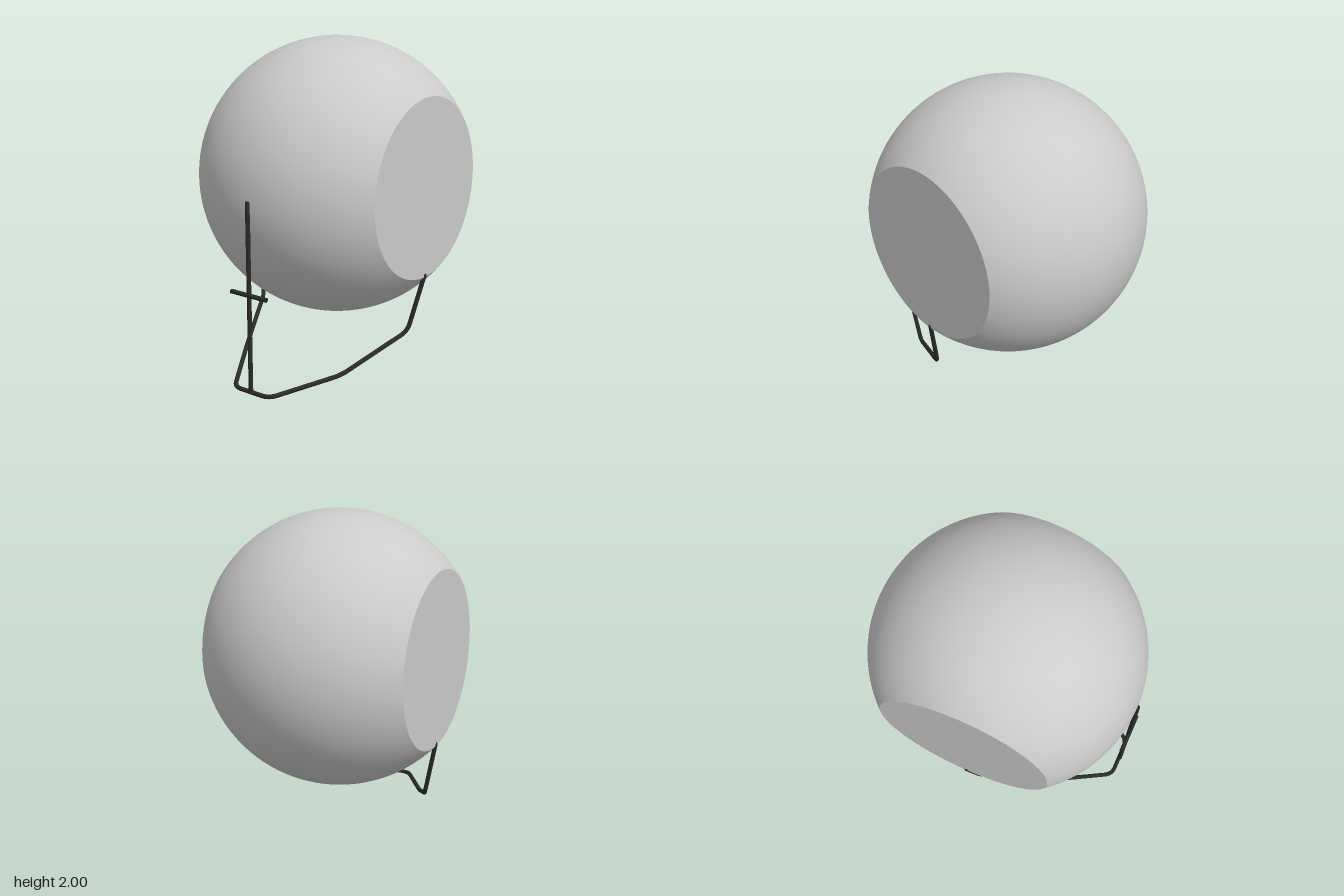
import * as THREE from 'three';

const R = 0.84, HALF = 0.645, CAP = Math.sqrt(R * R - HALF * HALF);
const CENTRE = [0, 1.16, -0.01], WIRE = 0.0135;

const shellMat = new THREE.MeshStandardMaterial({ color: 0xcccccc });
const wireMat = new THREE.MeshStandardMaterial({ color: 0x2a2a2a });

function add(parent, name, geometry, material) {
  const mesh = new THREE.Mesh(geometry, material);
  mesh.name = name;
  parent.add(mesh);
  return mesh;
}

// Straight runs joined by short rounded bends
function bentPath(points, bend) {
  const path = new THREE.CurvePath();
  let from = points[0];
  for (let i = 1; i < points.length - 1; i++) {
    const p = points[i];
    const toward = (q) => p.clone().add(q.clone().sub(p).setLength(bend));
    const a = toward(points[i - 1]), b = toward(points[i + 1]);
    path.add(new THREE.LineCurve3(from, a));
    path.add(new THREE.QuadraticBezierCurve3(a, p, b));
    from = b;
  }
  path.add(new THREE.LineCurve3(from, points[points.length - 1]));
  return path;
}

// Round bar with closed ends between two points
function bar(parent, name, a, b) {
  const from = new THREE.Vector3(...a), dir = new THREE.Vector3(...b).sub(from);
  const mesh = add(parent, name, new THREE.CylinderGeometry(WIRE, WIRE, dir.length(), 12), wireMat);
  mesh.position.copy(from).addScaledVector(dir, 0.5);
  mesh.quaternion.setFromUnitVectors(new THREE.Vector3(0, 1, 0), dir.normalize());
}

export function createModel() {
  const model = new THREE.Group();
  model.name = 'helmet';

  // Sphere with both sides sliced flat, made of quarter panels per half
  const shell = new THREE.Group();
  shell.name = 'shell';
  shell.position.set(...CENTRE);
  model.add(shell);
  const profile = [];
  const maxAngle = Math.asin(HALF / R);
  for (let i = 0; i <= 20; i++) {
    const t = (i / 20) * maxAngle;
    profile.push(new THREE.Vector2(R * Math.cos(t), R * Math.sin(t)));
  }
  for (const [side, s] of [['left', 1], ['right', -1]]) {
    for (let q = 0; q < 4; q++) {
      const start = q * Math.PI / 2;
      const panel = new THREE.LatheGeometry(profile, 24, start, Math.PI / 2);
      add(shell, side + 'ShellPanel', panel.rotateZ(-s * Math.PI / 2), shellMat);
      const disc = new THREE.CircleGeometry(CAP, 24, start, Math.PI / 2);
      disc.rotateY(s * Math.PI / 2).translate(s * HALF, 0, 0);
      add(shell, side + 'FlatSide', disc, shellMat);
    }
  }

  // Wire face guard: one bent loop from side to side, a post and a crossbar
  const guard = new THREE.Group();
  guard.name = 'faceGuard';
  model.add(guard);
  const half = [[0.64, 0.63, -0.01], [0.56, 0.275, 0.04], [0.365, 0.085, 0.45], [0.13, 0.018, 0.83]];
  const loop = [
    ...half.map(([x, y, z]) => new THREE.Vector3(-x, y, z)),
    ...half.slice().reverse().map((p) => new THREE.Vector3(...p)),
  ];
  add(guard, 'jawWire', new THREE.TubeGeometry(bentPath(loop, 0.05), 160, WIRE, 12), wireMat);
  for (const s of [1, -1]) {
    const tip = add(guard, 'jawWireEnd', new THREE.SphereGeometry(WIRE, 12, 8), wireMat);
    tip.position.set(s * half[0][0], half[0][1], half[0][2]);
  }
  bar(guard, 'frontPost', [0, 0.015, 0.836], [0, 1.165, 0.832]);
  bar(guard, 'crossbar', [-0.13, 0.615, 0.837], [0.13, 0.615, 0.837]);

  return model;
}
